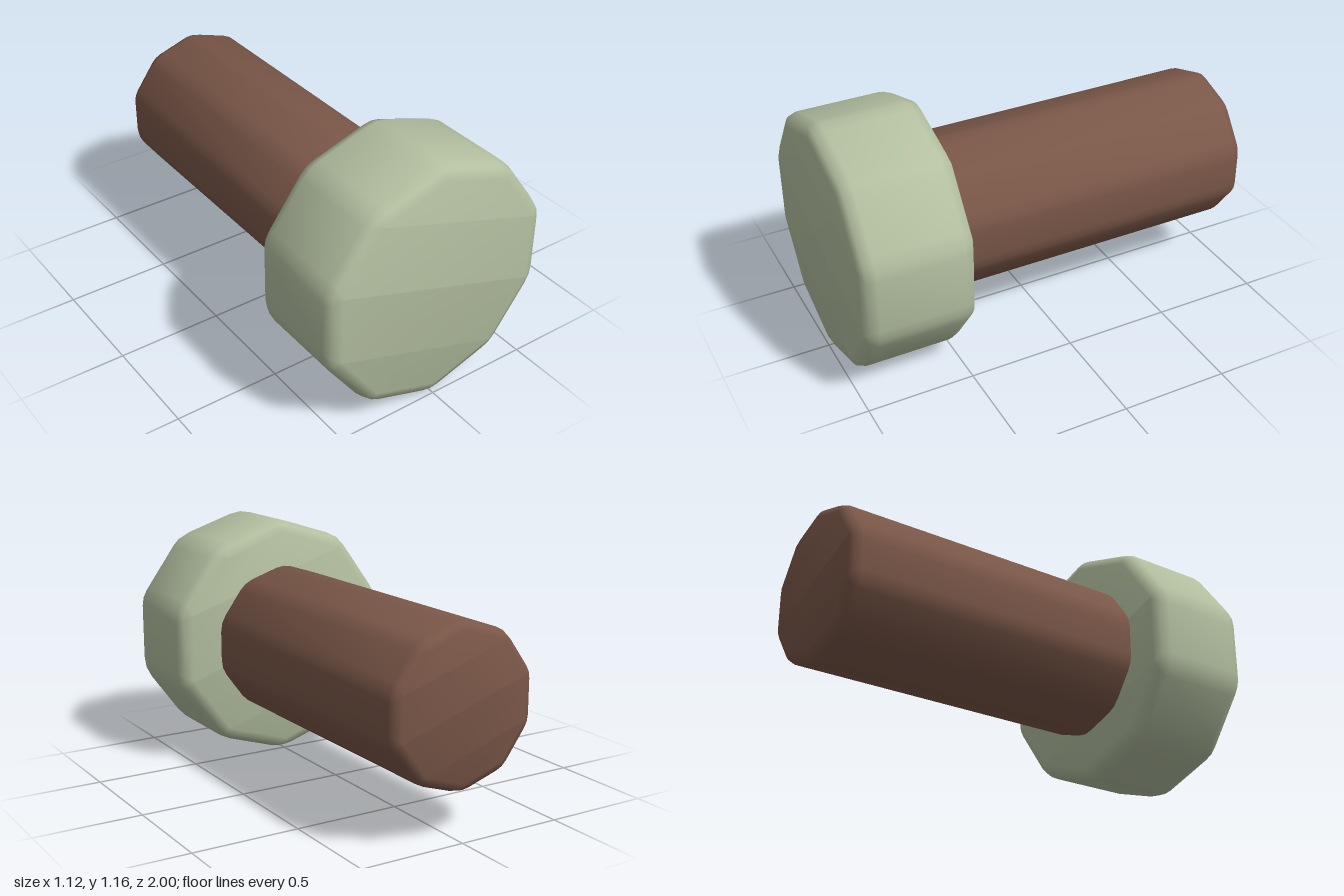
import * as THREE from 'three';

const SIDES = 10;
const STEP = (Math.PI * 2) / SIDES;

// Decagonal prism along z, with every edge rounded in two steps and smooth normals
function roundedPrism(apothem, z0, z1, bevel) {
  const n = SIDES * 3;
  const positions = [], normals = [], index = [];
  const s = bevel * (1 - Math.SQRT1_2);
  // each ring: z, inset of the flats, corner cut, tilt of the normal towards the end
  const rings = [
    [z0, bevel, 0, -75],
    [z0 + s, s, bevel * Math.SQRT1_2, -45],
    [z0 + bevel, 0, bevel, -13],
    [z1 - bevel, 0, bevel, 13],
    [z1 - s, s, bevel * Math.SQRT1_2, 45],
    [z1, bevel, 0, 75],
  ];
  for (const [z, inset, cut, tilt] of rings) {
    const radius = (apothem - inset) / Math.cos(STEP / 2);
    const t = THREE.MathUtils.degToRad(tilt);
    for (let i = 0; i < SIDES; i++) {
      const a = Math.PI / 2 + i * STEP;
      for (const k of [-1, 0, 1]) {
        // the corner in its own frame: r outwards, w along the rim
        const drop = cut * Math.sin(STEP / 2) * (k === 0 ? 0.5 : 1);
        const r = radius - drop;
        const w = k * cut * Math.cos(STEP / 2);
        positions.push(r * Math.cos(a) - w * Math.sin(a), r * Math.sin(a) + w * Math.cos(a), z);
        const b = a + k * STEP * 0.375;
        normals.push(Math.cos(t) * Math.cos(b), Math.cos(t) * Math.sin(b), Math.sin(t));
      }
    }
  }
  // walls between neighbouring rings
  for (let j = 0; j < rings.length - 1; j++) {
    for (let i = 0; i < n; i++) {
      const a = j * n + i, b = j * n + ((i + 1) % n);
      index.push(a, b, b + n, a, b + n, a + n);
    }
  }
  // flat ends, as strips from one side to the other
  const last = (rings.length - 1) * n;
  for (let i = 0; i < n / 2 - 1; i++) {
    const a = i, b = i + 1, c = n - 2 - i, d = n - 1 - i;
    index.push(last + a, last + b, last + c, last + a, last + c, last + d);
    index.push(a, c, b, a, d, c);
  }
  const geometry = new THREE.BufferGeometry();
  geometry.setAttribute('position', new THREE.Float32BufferAttribute(positions, 3));
  geometry.setAttribute('normal', new THREE.Float32BufferAttribute(normals, 3));
  geometry.setIndex(index);
  return geometry;
}

export function createModel() {
  const model = new THREE.Group();
  const paleGreen = new THREE.MeshStandardMaterial({ name: 'paleGreen', color: 0xb3bfa0 });
  const brown = new THREE.MeshStandardMaterial({ name: 'brown', color: 0x7a5748 });

  const add = (name, geometry, material) => {
    const mesh = new THREE.Mesh(geometry, material);
    mesh.name = name;
    mesh.position.y = 0.583;
    model.add(mesh);
  };

  // wide head at the front, narrow shaft running back from it
  add('head', roundedPrism(0.562, 0.485, 1, 0.06), paleGreen);
  add('shaft', roundedPrism(0.352, -1, 0.6, 0.045), brown);
  return model;
}
